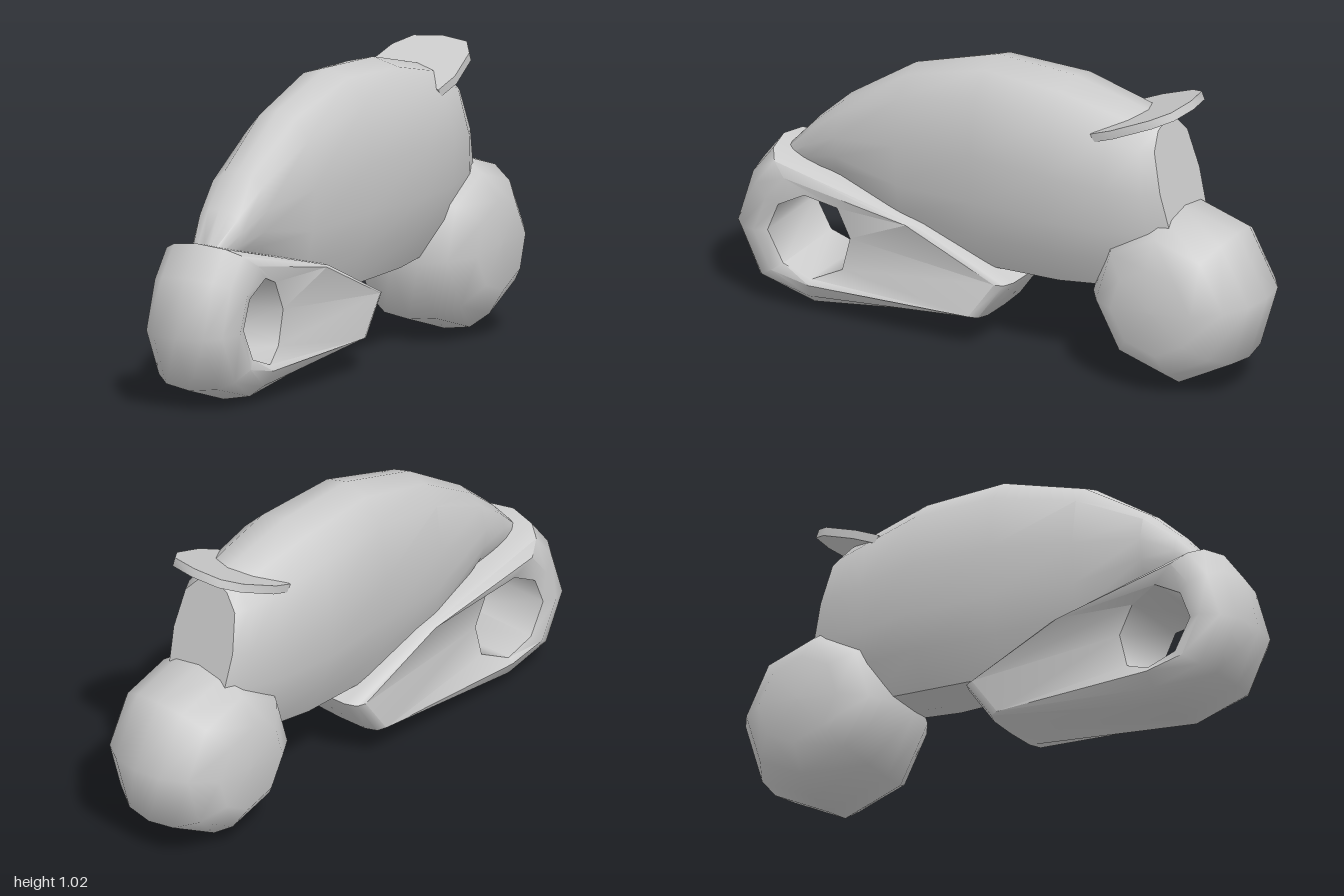
import * as THREE from 'three';
import { toCreasedNormals } from 'three/addons/utils/BufferGeometryUtils.js';

const material = new THREE.MeshStandardMaterial({ color: 0xcccccc });

// Skin a list of closed rings; either cap both ends or join last ring to first
function loft(rings, wrap, crease) {
  const n = rings[0].length;
  const points = rings.flat();
  const index = [];
  const spans = wrap ? rings.length : rings.length - 1;
  for (let i = 0; i < spans; i++) {
    const p = i * n, q = ((i + 1) % rings.length) * n;
    for (let j = 0; j < n; j++) {
      const k = (j + 1) % n;
      index.push(p + j, p + k, q + j, p + k, q + k, q + j);
    }
  }
  if (!wrap) {
    const end = (rings.length - 1) * n;
    for (let j = 1; j < n - 1; j++) {
      index.push(0, j + 1, j, end, end + j, end + j + 1);
    }
  }
  const geometry = new THREE.BufferGeometry();
  geometry.setAttribute('position', new THREE.Float32BufferAttribute(points.flat(), 3));
  geometry.setIndex(index);
  return toCreasedNormals(geometry, crease);
}

function part(name, geometry) {
  const mesh = new THREE.Mesh(geometry, material);
  mesh.name = name;
  return mesh;
}

// Egg-shaped hull lofted front to back
function body() {
  // half cross-section: fraction of half width, fraction of height
  const half = [[0, 1], [0.47, 0.965], [0.84, 0.86], [1, 0.6], [0.94, 0.37], [0.8, 0.2], [0.5, 0.03], [0, 0]];
  const section = [...half, ...half.slice(1, -1).reverse().map(([x, y]) => [-x, y])];
  // z, top, bottom, half width, backward slant at the foot
  const stations = [
    [0.82, 0.55, 0.47, 0.05, 0],
    [0.72, 0.66, 0.47, 0.09, 0],
    [0.6, 0.77, 0.46, 0.118, 0],
    [0.35, 0.935, 0.3, 0.15, 0],
    [0.04, 1.03, 0.27, 0.187, 0],
    [-0.26, 1.018, 0.285, 0.216, 0],
    [-0.46, 0.97, 0.31, 0.19, 0.03],
    [-0.57, 0.943, 0.36, 0.165, 0.09],
    [-0.61, 0.93, 0.4, 0.135, 0.13],
  ];
  const rings = stations.map(([z, top, bottom, w, slant]) =>
    section.map(([x, y]) => [x * w, bottom + y * (top - bottom), z - slant * (1 - y)]));
  return part('body', loft(rings, false, 0.8));
}

// Front wheel cover: rounded teardrop with an eight-sided opening
function frontFairing() {
  const outline = [[0.86, 0.565], [0.94, 0.46], [1, 0.26], [0.91, 0.07], [0.69, 0.005], [0.01, 0.12], [-0.09, 0.26], [0.25, 0.41]];
  const hole = [[0.69, 0.435], [0.79, 0.38], [0.83, 0.28], [0.77, 0.17], [0.66, 0.135], [0.56, 0.18], [0.53, 0.3], [0.58, 0.4]];
  const front = { inset: [0, 0.02, 0.06, 0.125], x: [0, 0.1, 0.15, 0.18] };
  const rear = { inset: [0, 0.004, 0.02, 0.05], x: [0, 0.11, 0.152, 0.165] };
  const side = (step, sign) => outline.map(([z, y], j) => {
    const [hz, hy] = hole[j];
    if (step === 4) return [sign * (j > 4 ? 0.135 : 0.165), hy, hz];
    const p = j > 4 ? rear : front;
    const t = Math.min(0.85, p.inset[step] / Math.hypot(hz - z, hy - y));
    return [sign * p.x[step], y + (hy - y) * t, z + (hz - z) * t];
  });
  const rings = [0, 1, 2, 3, 4].map((s) => side(s, 1));
  for (let s = 4; s > 0; s--) rings.push(side(s, -1));
  return part('frontFairing', loft(rings, true, 0.95));
}

// Fat eight-sided rear wheel, axle along x
function rearWheel() {
  const half = [[0.315, 0], [0.3, 0.1], [0.245, 0.18], [0.155, 0.243], [0, 0.245]];
  const profile = [...half.slice(1).reverse().map(([r, x]) => [r, -x]), ...half]
    .map(([r, x]) => new THREE.Vector2(r, x));
  const geometry = new THREE.LatheGeometry(profile, 8, 0.1);
  geometry.rotateZ(-Math.PI / 2);
  const wheel = part('rearWheel', geometry);
  wheel.position.set(0, 0.327, -0.685);
  return wheel;
}

// Thin tilted plate wrapped round the upper tail
function spoiler() {
  const edge = [[0.165, 0], [0.178, 0.09], [0.152, 0.235], [0.105, 0.3], [0, 0.318]];
  const outline = [...edge, ...edge.slice(0, -1).reverse().map(([x, y]) => [-x, y])];
  const shape = new THREE.Shape(outline.map(([x, y]) => new THREE.Vector2(x, y)));
  const geometry = new THREE.ExtrudeGeometry(shape, { depth: 0.03, bevelEnabled: false });
  geometry.rotateX(-Math.PI / 2 + 0.39);
  const plate = part('spoiler', toCreasedNormals(geometry, 0.8));
  plate.position.set(0, 0.868, -0.422);
  return plate;
}

export function createModel() {
  const model = new THREE.Group();
  model.name = 'scooter';
  model.add(body(), frontFairing(), rearWheel(), spoiler());
  return model;
}
